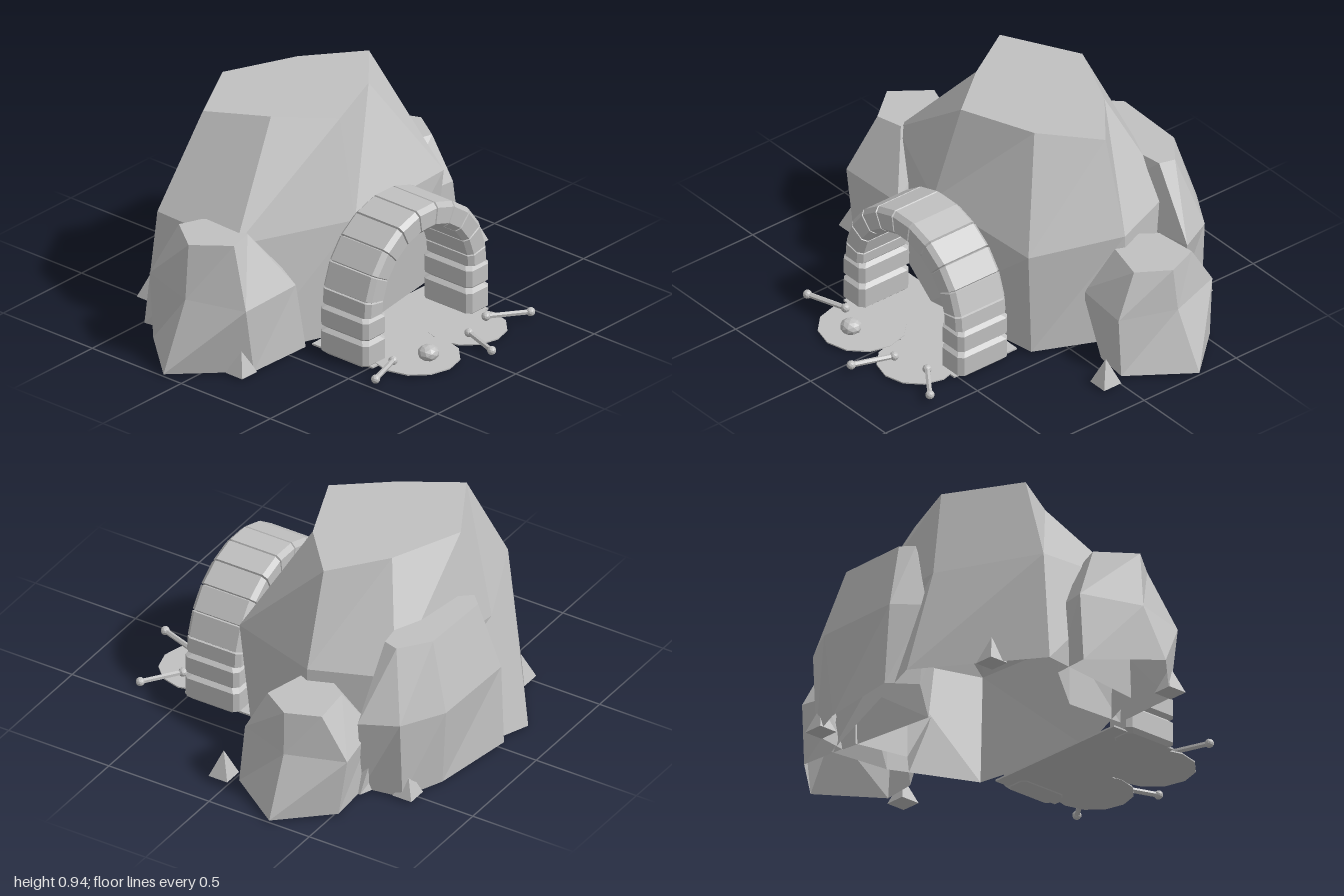
import * as THREE from 'three';

const stone = new THREE.MeshStandardMaterial({ color: 0xc0c0c0, flatShading: true, side: THREE.DoubleSide });
stone.name = 'stone grey';

// Skin a stack of equal-length rings of [x, y, z] points with hard facets
function loft(rings, capStart, capEnd) {
  const pos = [];
  const tri = (...pts) => pts.forEach((p) => pos.push(...p));
  const n = rings[0].length;
  for (let k = 0; k < rings.length - 1; k++) {
    const a = rings[k], b = rings[k + 1];
    for (let i = 0; i < n; i++) {
      const j = (i + 1) % n;
      tri(a[i], a[j], b[j]);
      tri(a[i], b[j], b[i]);
    }
  }
  const first = rings[0], last = rings[rings.length - 1];
  for (let i = 1; i < n - 1; i++) {
    if (capStart) tri(first[0], first[i + 1], first[i]);
    if (capEnd) tri(last[0], last[i], last[i + 1]);
  }
  const g = new THREE.BufferGeometry();
  g.setAttribute('position', new THREE.Float32BufferAttribute(pos, 3));
  g.computeVertexNormals();
  return g;
}

// Boulder: each level is [y, [x, z], ...], listed counterclockwise from above
const boulder = (...levels) =>
  loft(levels.map(([y, ...pts]) => pts.map(([x, z]) => [x, y, z])), false, true);

export function createModel() {
  const model = new THREE.Group();
  model.name = 'caveEntrance';
  const add = (name, geometry, x = 0, y = 0, z = 0, parent = model) => {
    const m = new THREE.Mesh(geometry, stone);
    m.name = name;
    m.position.set(x, y, z);
    parent.add(m);
    return m;
  };

  // Boulders, open underneath
  add('mainRock', boulder(
    [0.01, [-0.13, 0.24], [0.43, 0.15], [0.6, -0.23], [0.63, -0.52], [-0.19, -0.84], [-0.69, -0.48], [-0.62, 0.05]],
    [0.52, [-0.14, 0.22], [0.46, 0.19], [0.59, -0.23], [0.45, -0.58], [-0.17, -0.67], [-0.63, -0.46], [-0.65, 0]],
    [0.945, [-0.1, 0.1], [0.23, -0.03], [0.46, -0.23], [0.22, -0.42], [-0.1, -0.56], [-0.43, -0.38], [-0.28, -0.13]],
  ));
  add('rightHandRock', boulder(
    [0.01, [-0.73, 0.17], [-0.41, 0.18], [-0.4, -0.1], [-0.6, -0.35], [-0.77, -0.36], [-1, -0.1]],
    [0.31, [-0.78, 0.17], [-0.45, 0.16], [-0.4, -0.1], [-0.6, -0.35], [-0.77, -0.38], [-0.86, -0.1]],
    [0.56, [-0.72, 0.05], [-0.6, 0.02], [-0.5, -0.1], [-0.62, -0.22], [-0.72, -0.26], [-0.84, -0.1]],
  ));
  add('leftHandRock', boulder(
    [0.01, [0.81, -0.03], [1, -0.3], [0.8, -0.52], [0.5, -0.5], [0.45, -0.25], [0.65, -0.05]],
    [0.27, [0.78, -0.04], [0.87, -0.29], [0.78, -0.55], [0.5, -0.5], [0.45, -0.25], [0.5, -0.07]],
    [0.465, [0.76, -0.14], [0.85, -0.28], [0.79, -0.43], [0.6, -0.41], [0.52, -0.3], [0.57, -0.19]],
  ));
  add('backRock', boulder(
    [0.01, [0.58, -0.5], [0.55, -0.68], [0.36, -0.76], [-0.03, -0.82], [-0.12, -0.7], [0.1, -0.45]],
    [0.38, [0.65, -0.52], [0.57, -0.68], [0.38, -0.79], [-0.04, -0.8], [-0.14, -0.68], [0.1, -0.4]],
    [0.69, [0.45, -0.53], [0.47, -0.6], [0.34, -0.7], [0.0, -0.71], [-0.05, -0.66], [0.1, -0.48]],
  ));

  // Stone arch: a chamfered section swept up one pier, round and down the other
  const section = (inner, outer, inset) => {
    const a = inner + inset, b = outer - inset, f = 0.51 - inset, k = 0.24 + inset, c = 0.02;
    return [[a, f - c], [a + c, f], [b - c, f], [b, f - c], [b, k + c], [b - c, k], [a + c, k], [a, k + c]];
  };
  const springY = 0.235, inner = 0.275, outer = 0.388, joint = 0.012;
  const pier = [[0, 0.018], [0.018, 0], [0.108, 0], [0.124, 0.018], [0.14, 0], [0.215, 0], [0.23, 0.018]];
  const pierRings = (side) => pier.map(([y, inset]) =>
    section(0.26, 0.4, inset).map(([r, z]) => [side * r, y, z]));
  const arcRing = (angle, inset) => section(inner, outer, inset).map(([r, z]) =>
    [r * Math.cos(angle), springY + r * Math.sin(angle), z]);
  const arcRings = [arcRing(0, 0)];
  const start = Math.PI / 17, blocks = 9;
  for (let i = 0; i <= blocks; i++) {
    const t = start + (i / blocks) * (Math.PI - 2 * start);
    arcRings.push(arcRing(t - joint, 0), arcRing(t, 0.008), arcRing(t + joint, 0));
  }
  arcRings.push(arcRing(Math.PI, 0));
  add('arch', loft([...pierRings(1), ...arcRings, ...pierRings(-1).reverse()], true, true));

  // Threshold and flat ground patches
  add('threshold', new THREE.BoxGeometry(0.74, 0.008, 0.34), 0, 0.008, 0.35);
  add('groundPatch', new THREE.CylinderGeometry(0.19, 0.19, 0.006, 12), -0.165, 0.012, 0.585);
  add('groundPatch', new THREE.CylinderGeometry(0.175, 0.175, 0.006, 12), 0.18, 0.01, 0.565);

  // Skull-sized pebble
  add('pebble', new THREE.IcosahedronGeometry(0.047, 1), -0.16, 0.045, 0.65).scale.y = 0.75;

  // Scattered bones, each a shaft with a knob at both ends
  const bones = [[-0.475, 0.63, -0.295, 0.57], [0.05, 0.82, 0.113, 0.637], [0.275, 0.59, 0.432, 0.703]];
  for (const [x1, z1, x2, z2] of bones) {
    const bone = new THREE.Group();
    bone.name = 'bone';
    const a = new THREE.Vector3(x1, 0.032, z1), b = new THREE.Vector3(x2, 0.032, z2);
    const shaft = add('boneShaft', new THREE.CylinderGeometry(0.012, 0.012, a.distanceTo(b), 6),
      (x1 + x2) / 2, 0.032, (z1 + z2) / 2, bone);
    shaft.quaternion.setFromUnitVectors(new THREE.Vector3(0, 1, 0), b.clone().sub(a).normalize());
    for (const p of [a, b]) add('boneKnob', new THREE.IcosahedronGeometry(0.02, 1), p.x, p.y, p.z, bone);
    model.add(bone);
  }

  // Small pointed stones around the foot
  for (const [x, z] of [[0.805, 0.05], [-0.77, 0.135], [-0.48, -0.62], [0.515, -0.685]]) {
    add('pointedStone', new THREE.ConeGeometry(0.066, 0.12, 4).rotateY(Math.PI / 4), x, 0.07, z);
  }
  return model;
}
